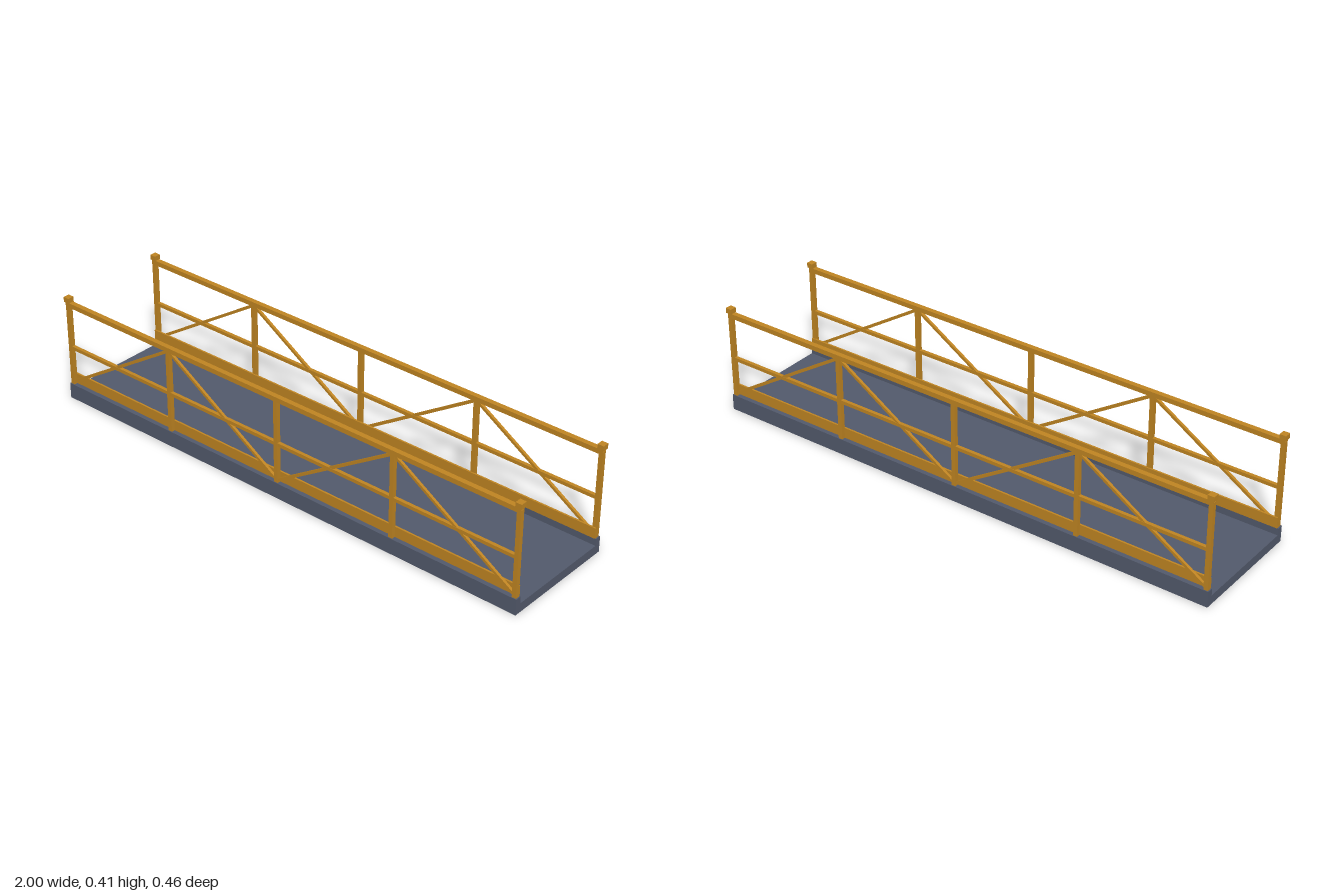
import * as THREE from 'three';

export function createModel() {
  const model = new THREE.Group();
  model.name = 'footbridge';
  const steel = new THREE.MeshStandardMaterial({ color: 0x535a6c });
  steel.name = 'slate steel';
  const paint = new THREE.MeshStandardMaterial({ color: 0xc08522 });
  paint.name = 'ochre paint';

  function box(parent, name, material, size, position) {
    const mesh = new THREE.Mesh(new THREE.BoxGeometry(...size), material);
    mesh.name = name;
    mesh.position.set(...position);
    parent.add(mesh);
    return mesh;
  }

  // Channel-shaped deck: floor with a raised curb on each side
  const section = new THREE.Shape([
    [-0.227, 0], [0.227, 0], [0.227, 0.06], [0.204, 0.06],
    [0.204, 0.034], [-0.204, 0.034], [-0.204, 0.06], [-0.227, 0.06],
  ].map(([z, y]) => new THREE.Vector2(z, y)));
  const deckGeometry = new THREE.ExtrudeGeometry(section, { depth: 2, bevelEnabled: false });
  deckGeometry.translate(0, 0, -1).rotateY(Math.PI / 2);
  const deck = new THREE.Mesh(deckGeometry, steel);
  deck.name = 'deck';
  model.add(deck);

  const postX = [-0.988, -0.495, 0, 0.495, 0.988];

  for (const side of [1, -1]) {
    const railing = new THREE.Group();
    railing.name = side > 0 ? 'frontRailing' : 'backRailing';
    const z = side * 0.216;
    model.add(railing);

    // Horizontal members
    box(railing, 'topRail', paint, [1.99, 0.018, 0.019], [0, 0.386, z]);
    box(railing, 'midRail', paint, [1.99, 0.013, 0.013], [0, 0.211, z]);
    box(railing, 'kickPlate', paint, [1.99, 0.04, 0.007], [0, 0.08, side * 0.2065]);

    // Posts, with block caps on the end ones
    postX.forEach((x, i) => {
      box(railing, 'post', paint, [0.016, 0.328, 0.016], [x, 0.224, z]);
      if (i === 0 || i === 4) {
        box(railing, 'postCap', paint, [0.024, 0.019, 0.025], [x, 0.404, z]);
      }
    });

    // Diagonal braces, alternating rising and falling
    for (let i = 0; i < 4; i++) {
      const rising = i % 2 === 0;
      const dx = postX[i + 1] - postX[i];
      const dy = rising ? 0.312 : -0.312;
      const brace = box(railing, 'diagonalBrace', paint,
        [Math.hypot(dx, dy), 0.01, 0.01], [postX[i] + dx / 2, 0.222, z]);
      brace.rotation.z = Math.atan2(dy, dx);
    }
  }
  return model;
}
